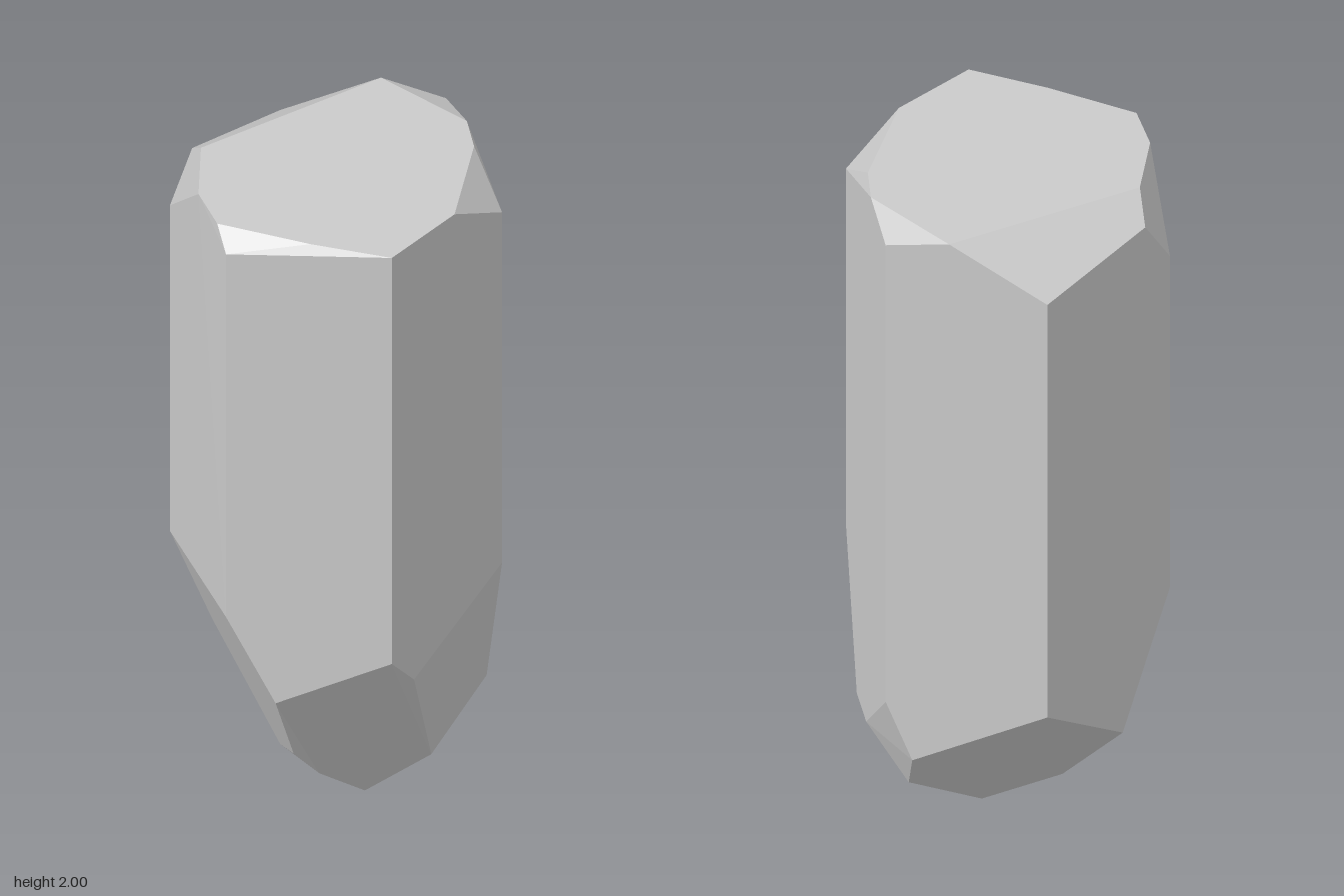
import * as THREE from 'three';
import { ConvexGeometry } from 'three/addons/geometries/ConvexGeometry.js';

// Hexagonal prism crystal: flat top with chipped corners, faceted off-centre point below
const R = 0.435, HX = 0.218, HZ = 0.378;

// Corners of the flat top, as x, z
const topRim = [
  [-HX, HZ], [0.03, HZ], [0.285, 0.225], [0.355, 0.14], [0.352, -0.15],
  [-0.18, -0.305], [-0.335, -0.18], [-0.4, -0.06], [-0.31, 0.18],
];

// Long vertical edges: x, z, lower y, upper y
const prismEdges = [
  [HX, HZ, 0.77, 1.9], [R, 0, 0.51, 1.96], [HX, -HZ, 0.55, 1.86],
  [-HX, -HZ, 0.75, 1.8], [-R, 0, 0.78, 1.95], [-HX, HZ, 0.69, 2],
];

// Where a chip at the back leaves the rear side
const chipCorners = [[-0.13, 1.935, -HZ]];

// Corners of the slanted facets around the lower point
const tip = [
  [-0.13, 0.59, HZ], [0.28, 0.32, 0.272], [0.33, 0.3, 0.184], [0.06, 0.19, 0.273],
  [0.32, 0.18, 0.035], [0.4, 0.34, -0.063], [-0.05, 0.37, -HZ], [-0.37, 0.52, 0.113],
  [-0.2, 0.22, 0.028], [-0.11, 0.11, 0.038], [-0.07, 0.1, -0.13],
  [0.01, 0.012, 0.09], [0.06, 0, 0.035],
];

export function createModel() {
  const points = [...chipCorners, ...tip].map(p => new THREE.Vector3(...p));
  for (const [x, z] of topRim) points.push(new THREE.Vector3(x, 2, z));
  for (const [x, z, low, high] of prismEdges) {
    points.push(new THREE.Vector3(x, low, z), new THREE.Vector3(x, high, z));
  }

  const crystal = new THREE.Mesh(
    new ConvexGeometry(points),
    new THREE.MeshStandardMaterial({ color: 0xcccccc, flatShading: true }),
  );
  crystal.name = 'crystal';

  const group = new THREE.Group();
  group.name = 'crystalShard';
  group.add(crystal);
  return group;
}
